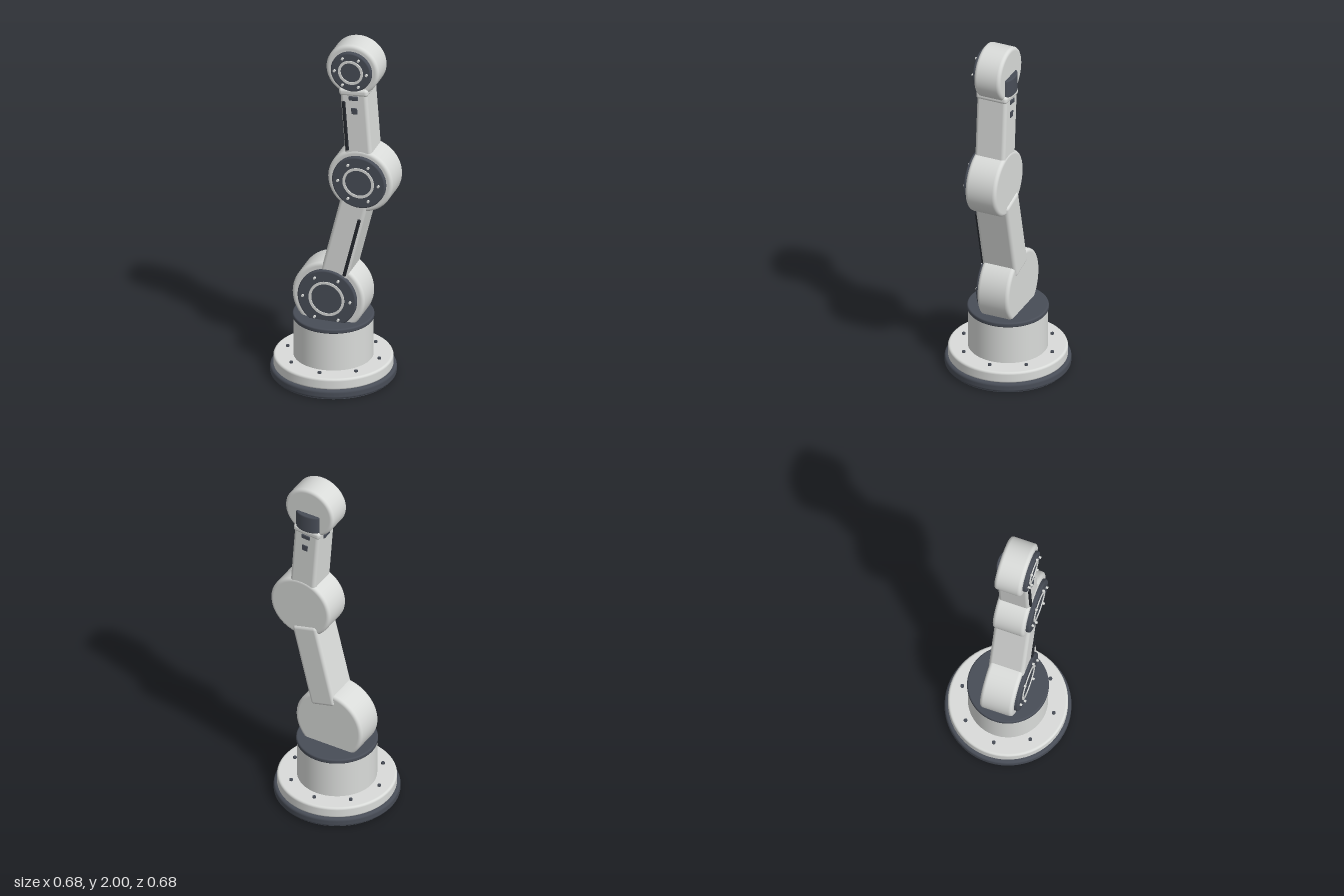
import * as THREE from 'three';
import { RoundedBoxGeometry } from 'three/addons/geometries/RoundedBoxGeometry.js';

const mat = (name, color) => {
  const m = new THREE.MeshStandardMaterial({ color });
  m.name = name;
  return m;
};

export function createModel() {
  const light = mat('lightGrey', 0xd9dbd9);
  const dark = mat('slateGrey', 0x484d57);
  const black = mat('nearBlack', 0x25282e);

  const root = new THREE.Group();
  root.name = 'robotArm';

  const add = (parent, name, geometry, material, x = 0, y = 0, z = 0) => {
    const mesh = new THREE.Mesh(geometry, material);
    mesh.name = name;
    mesh.position.set(x, y, z);
    parent.add(mesh);
    return mesh;
  };

  // Solid of revolution from y0 to y1 with rounded rims
  const roundDisc = (r, y0, y1, bevel) => {
    const p = [new THREE.Vector2(0, y0), new THREE.Vector2(r - bevel - 0.002, y0)];
    const arc = (cy, from) => {
      for (let i = 0; i <= 6; i++) {
        const a = from + (i / 6) * Math.PI / 2;
        p.push(new THREE.Vector2(r - bevel + bevel * Math.cos(a), cy + bevel * Math.sin(a)));
      }
    };
    arc(y0 + bevel, -Math.PI / 2);
    p.push(new THREE.Vector2(r, y0 + bevel + 0.001), new THREE.Vector2(r, y1 - bevel - 0.001));
    arc(y1 - bevel, 0);
    p.push(new THREE.Vector2(r - bevel - 0.002, y1), new THREE.Vector2(0, y1));
    return new THREE.LatheGeometry(p, 64);
  };
  // The same solid lying along z
  const sideDisc = (r, z0, z1, bevel) => roundDisc(r, z0, z1, bevel).rotateX(Math.PI / 2);

  // Pedestal
  const base = new THREE.Group();
  base.name = 'base';
  root.add(base);
  add(base, 'foot', roundDisc(0.338, 0.005, 0.055, 0.014), dark);
  add(base, 'footPad', new THREE.CylinderGeometry(0.325, 0.325, 0.01, 64), dark, 0, 0.005, 0);
  add(base, 'flange', roundDisc(0.32, 0.05, 0.115, 0.012), light);
  add(base, 'column', roundDisc(0.214, 0.1, 0.34, 0.005), light);
  add(base, 'columnCap', roundDisc(0.218, 0.333, 0.36, 0.008), dark);
  for (let i = 0; i < 8; i++) {
    const a = i * Math.PI / 4;
    add(base, 'baseBolt', new THREE.CylinderGeometry(0.01, 0.01, 0.012, 16), dark,
      0.255 * Math.cos(a), 0.117, 0.255 * Math.sin(a));
  }

  // Arm plane: local x runs along the arm, local z along the joint axes
  const arm = new THREE.Group();
  arm.name = 'arm';
  arm.rotation.y = -47 * Math.PI / 180;
  root.add(arm);

  // Joint drums with a bolted cover on one side
  const joint = (name, x, y, r, half, coverR, ringR, boltR) => {
    const g = new THREE.Group();
    g.name = name;
    g.position.set(x, y, 0);
    arm.add(g);
    add(g, name + 'Drum', sideDisc(r, -half, half, 0.018), light);
    add(g, name + 'Cover', sideDisc(coverR, half - 0.01, half + 0.022, 0.008), dark);
    const ring = new THREE.Shape().absarc(0, 0, ringR, 0, Math.PI * 2, false);
    ring.holes.push(new THREE.Path().absarc(0, 0, ringR - 0.014, 0, Math.PI * 2, true));
    add(g, name + 'Ring', new THREE.ExtrudeGeometry(ring,
      { depth: 0.006, bevelEnabled: false, curveSegments: 32 }), light, 0, 0, half + 0.021);
    for (let i = 0; i < 6; i++) {
      const a = i * Math.PI / 3;
      add(g, name + 'Bolt', new THREE.CylinderGeometry(0.007, 0.007, 0.016, 12).rotateX(Math.PI / 2),
        light, boltR * Math.cos(a), boltR * Math.sin(a), half + 0.026);
    }
  };
  joint('shoulder', 0, 0.49, 0.203, 0.092, 0.165, 0.1, 0.133);
  joint('elbow', 0.178, 1.208, 0.182, 0.09, 0.15, 0.088, 0.114);
  joint('wrist', 0.13, 1.852, 0.148, 0.076, 0.114, 0.07, 0.09);

  // Links between the joints, each with a slim strip along one edge
  const link = (name, x, y, tilt, w, len, d, stripX, stripLen, stripY) => {
    const g = new THREE.Group();
    g.name = name;
    g.position.set(x, y, 0);
    g.rotation.z = tilt;
    arm.add(g);
    add(g, name + 'Body', new RoundedBoxGeometry(w, len, d, 5, 0.02), light);
    add(g, name + 'Strip', new RoundedBoxGeometry(0.018, stripLen, 0.014, 2, 0.005), black,
      stripX, stripY, d / 2 + 0.003);
    return g;
  };
  link('lowerLink', 0.09, 0.852, -0.242, 0.154, 0.5, 0.198, 0.056, 0.36, -0.03);
  const upper = link('upperLink', 0.153, 1.54, 0.074, 0.152, 0.42, 0.174, -0.056, 0.29, -0.01);

  // Wrist collar and its small dark inserts
  add(upper, 'collar', new RoundedBoxGeometry(0.164, 0.045, 0.182, 4, 0.018), light, 0, 0.187, 0);
  for (const side of [-1, 1]) {
    add(upper, 'upperPort', new RoundedBoxGeometry(0.052, 0.026, 0.012, 2, 0.005), dark, 0, 0.155, side * 0.087);
    add(upper, 'lowerPort', new RoundedBoxGeometry(0.034, 0.036, 0.008, 2, 0.003), dark, 0, 0.08, side * 0.087);
  }
  add(upper, 'rearPort', new RoundedBoxGeometry(0.012, 0.026, 0.06, 2, 0.005), dark, -0.077, 0.155, 0);

  // Curved sensor housing on the plain side of the wrist
  const housing = add(arm, 'sensorHousing', roundDisc(0.074, -0.052, 0.052, 0.008), dark, 0.135, 1.795, -0.068);
  housing.scale.z = 0.5;

  return root;
}
